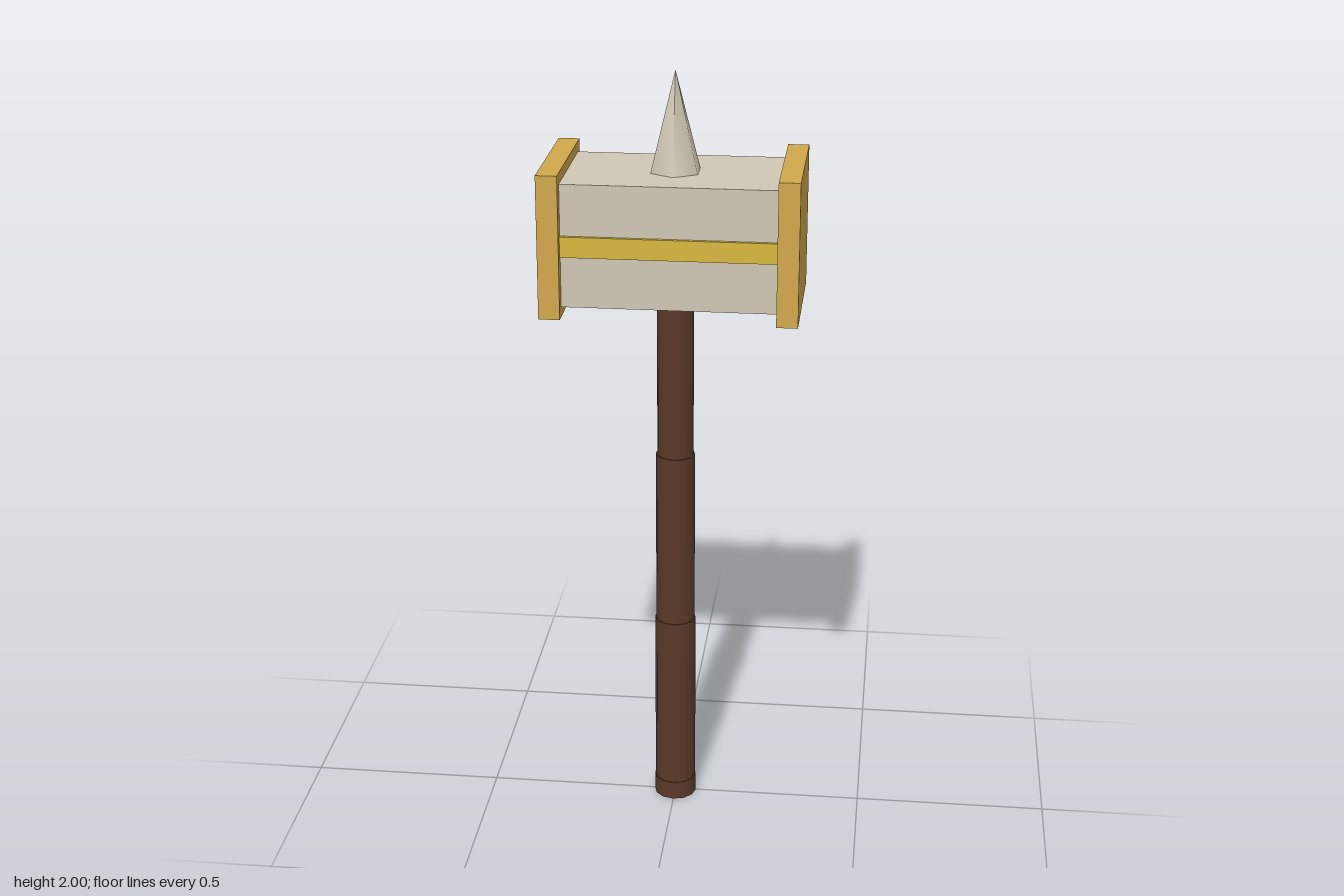
import * as THREE from 'three';

const paint = (color) => new THREE.MeshStandardMaterial({ color });

export function createModel() {
  const model = new THREE.Group();
  const stone = paint(0xd0c8b5), gold = paint(0xd1a84c), brightGold = paint(0xd8b840), wood = paint(0x5a3a28);

  const add = (name, geometry, material, x, y, z) => {
    const mesh = new THREE.Mesh(geometry, material);
    mesh.name = name;
    mesh.position.set(x, y, z);
    model.add(mesh);
    return mesh;
  };

  // Handle: three round sections, each a little thicker toward the bottom, and a thin foot
  const sections = [
    ['handleTop', 0.047, 1.0, 1.45],
    ['handleMiddle', 0.051, 0.53, 1.0],
    ['handleGrip', 0.054, 0.05, 0.53],
    ['handleFoot', 0.056, 0, 0.05],
  ];
  for (const [name, r, bottom, top] of sections) {
    add(name, new THREE.CylinderGeometry(r, r, top - bottom, 12), wood, 0, (bottom + top) / 2, 0);
  }

  // Hammer head with a raised band along front and back
  add('head', new THREE.BoxGeometry(0.53, 0.31, 0.31), stone, 0, 1.595, 0);
  add('headBand', new THREE.BoxGeometry(0.53, 0.052, 0.328), brightGold, 0, 1.595, 0);

  // Striking plates
  for (const side of [1, -1]) {
    add(side > 0 ? 'leftPlate' : 'rightPlate',
      new THREE.BoxGeometry(0.053, 0.362, 0.364), gold, side * 0.2915, 1.596, 0);
  }

  // Six-sided spike
  add('spike', new THREE.ConeGeometry(0.067, 0.25, 6), stone, 0, 1.875, 0);

  return model;
}
